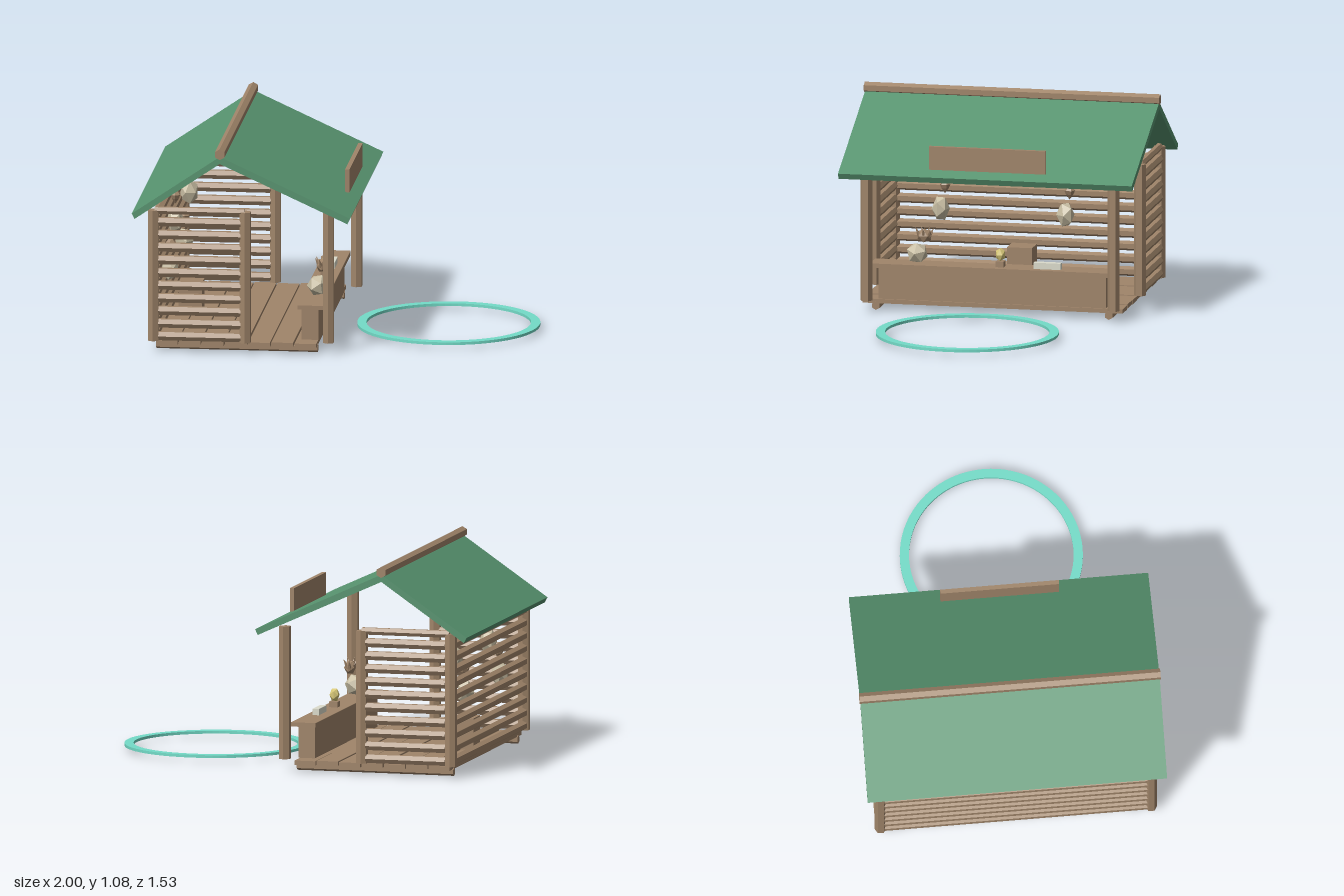
import * as THREE from 'three';

const mat = (color) => new THREE.MeshStandardMaterial({ color, flatShading: true });

export function createModel() {
  const model = new THREE.Group();
  const wood = mat(0xa0856a), green = mat(0x589470), teal = mat(0x74dcc8);
  const bone = mat(0xc9bfa4), gold = mat(0xd8c878), paper = mat(0xdcdccc);

  const add = (name, geo, material, x = 0, y = 0, z = 0) => {
    const mesh = new THREE.Mesh(geo, material);
    mesh.name = name;
    mesh.position.set(x, y, z);
    model.add(mesh);
    return mesh;
  };
  const box = (name, w, h, d, x, y, z, m = wood) =>
    add(name, new THREE.BoxGeometry(w, h, d), m, x, y, z);
  // six-sided log along an axis; turn spins it about its own length
  const log = (name, axis, r, len, x, y, z, turn = 0) => {
    const geo = new THREE.CylinderGeometry(r, r, len, 6);
    geo.rotateY(turn);
    if (axis === 'x') geo.rotateZ(Math.PI / 2);
    if (axis === 'z') geo.rotateX(Math.PI / 2);
    return add(name, geo, wood, x, y, z);
  };

  // floor: two bearers and seven planks
  for (const s of [-1, 1]) log('floorBearer', 'x', 0.022, 0.825, -0.478, 0.022, s * 0.605, Math.PI / 6);
  for (let i = 0; i < 7; i++) {
    box('floorPlank', 0.111, 0.022, 1.352, -0.89 + 0.118 * (i + 0.5), 0.046 + (i % 2) * 0.003, 0);
  }

  // posts and side walls
  for (const s of [-1, 1]) {
    log('rearPost', 'y', 0.031, 0.68, -0.897, 0.4, s * 0.69);
    log('wallPost', 'y', 0.031, 0.68, -0.428, 0.4, s * 0.69);
    log('frontPost', 'y', 0.031, 0.68, -0.008, 0.4, s * 0.642);
    log('sideTopRail', 'x', 0.02, 0.46, -0.66, 0.738, s * 0.69);
    for (let i = 0; i < 10; i++) log('sideSlat', 'x', 0.025, 0.42, -0.66, 0.085 + i * 0.066, s * 0.69);
  }

  // back wall
  for (let i = 0; i < 10; i++) log('backSlat', 'z', 0.025, 1.34, -0.897, 0.085 + i * 0.066, 0);

  // roof: a bent slab with a ridge log
  const roofShape = new THREE.Shape([
    [-1, 0.733], [-0.985, 0.706], [-0.55, 1.003], [0.102, 0.706], [0.115, 0.735], [-0.55, 1.04],
  ].map(([x, y]) => new THREE.Vector2(x, y)));
  const roof = new THREE.ExtrudeGeometry(roofShape, { depth: 1.526, bevelEnabled: false });
  add('roof', roof, green, 0, 0, -0.763);
  log('roofRidge', 'z', 0.028, 1.535, -0.55, 1.052, 0);
  box('signBoard', 0.022, 0.12, 0.605, 0.05, 0.825, 0);

  // counter
  box('counterBase', 0.086, 0.165, 1.18, -0.108, 0.142, 0);
  box('counterTop', 0.13, 0.022, 1.26, -0.102, 0.235, 0);

  // faceted ornaments on the back wall, each with a pointed pendant above
  for (const [z, y] of [[0.215, 0.58], [-0.43, 0.58], [0.435, 0.38], [-0.212, 0.375]]) {
    const orb = add('wallOrnament', new THREE.IcosahedronGeometry(0.057, 0), bone, -0.84, y, z);
    orb.scale.set(0.8, 1.2, 0.9);
    orb.rotation.y = z * 3;
    const pendant = new THREE.LatheGeometry(
      [[0, -0.036], [0.02, -0.008], [0.028, 0.012], [0.014, 0.03], [0, 0.034]].map(([r, h]) => new THREE.Vector2(r, h)), 6);
    add('wallPendant', pendant, wood, -0.84, y + 0.115, z - 0.022);
  }

  // counter ornament with a spiky cluster above it
  const orb = add('counterOrnament', new THREE.IcosahedronGeometry(0.057, 0), bone, -0.09, 0.3, 0.395);
  orb.rotation.set(0.2, 0.5, 0.1);
  const core = add('spikyCore', new THREE.IcosahedronGeometry(0.038, 0), wood, -0.073, 0.395, 0.355);
  core.scale.set(0.8, 1, 1.1);
  for (let i = 0; i < 7; i++) {
    const a = (i / 7) * Math.PI * 2;
    const spike = add('spike', new THREE.ConeGeometry(0.012, 0.05, 5), wood,
      -0.073 + 0.025 * Math.cos(a), 0.415, 0.355 + 0.038 * Math.sin(a));
    spike.rotation.set(0.5 * Math.sin(a), 0, -0.5 * Math.cos(a));
  }

  // small figurine on a stand, and a paper bundle
  box('figurineStand', 0.045, 0.03, 0.042, -0.1, 0.26, -0.035);
  add('figurine', new THREE.IcosahedronGeometry(0.027, 0), gold, -0.1, 0.308, -0.035).scale.y = 1.35;
  box('paperBundle', 0.035, 0.033, 0.14, -0.09, 0.262, -0.283, paper);

  // crate by the back wall
  box('crate', 0.12, 0.16, 0.13, -0.78, 0.138, 0);

  // flat ring on the ground in front of the counter
  const ringShape = new THREE.Shape().absarc(0, 0, 0.465, 0, Math.PI * 2, false);
  ringShape.holes.push(new THREE.Path().absarc(0, 0, 0.418, 0, Math.PI * 2, true));
  const ring = new THREE.ExtrudeGeometry(ringShape, { depth: 0.014, bevelEnabled: false, curveSegments: 40 });
  ring.rotateX(-Math.PI / 2);
  add('groundRing', ring, teal, 0.535, 0.02, 0);

  return model;
}
